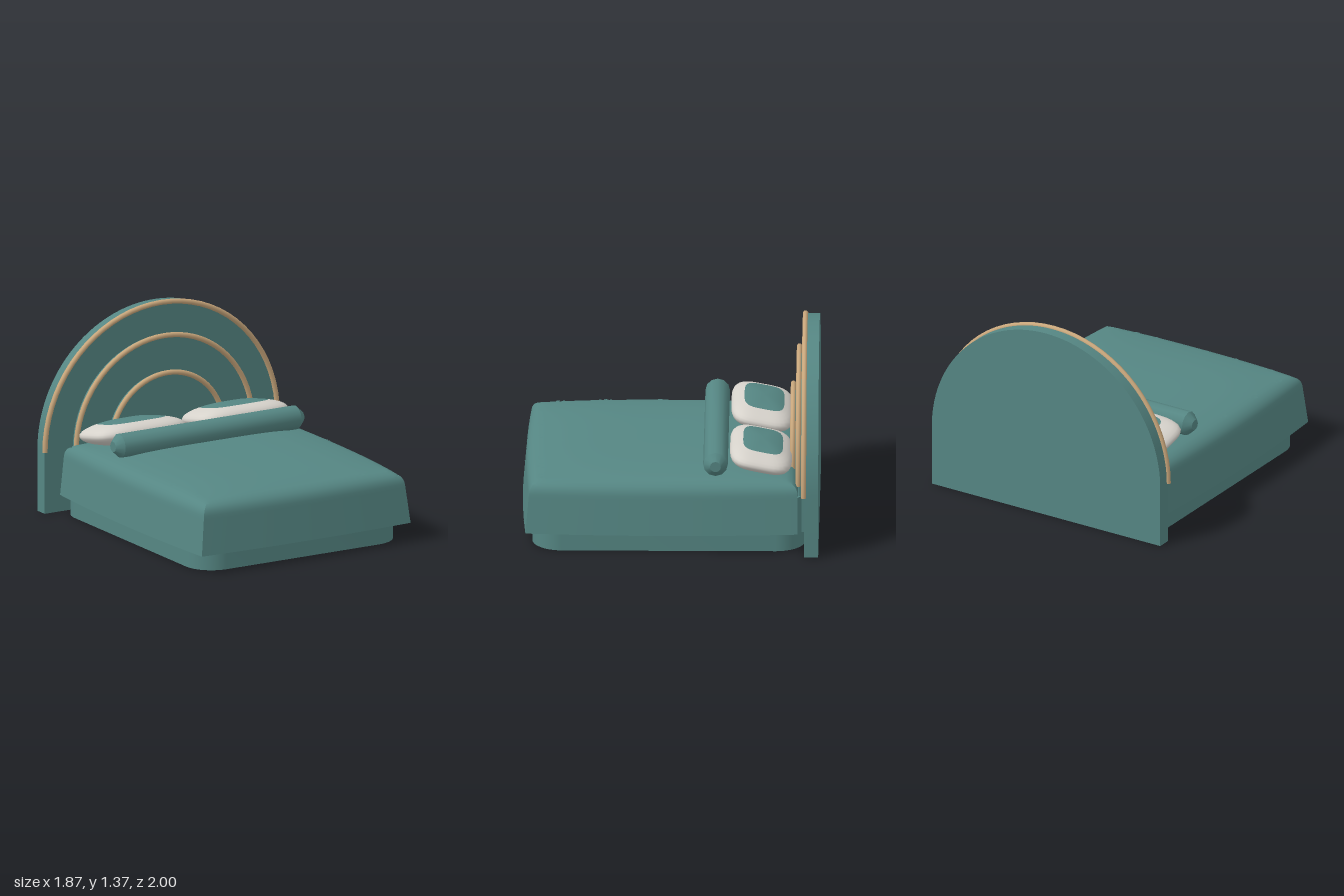
import * as THREE from 'three';
import { mergeGeometries, mergeVertices, toCreasedNormals } from 'three/addons/utils/BufferGeometryUtils.js';

// Blanket box before draping
const W = 0.785, D = 0.9025, ZC = 0.0425, Y0 = 0.13, Y1 = 0.475, R = 0.07;

// Rounds the upper edge, flares the skirt and domes the top of a point on the blanket box
function drape(x, y, z) {
  const qx = THREE.MathUtils.clamp(x, R - W, W - R);
  const qz = THREE.MathUtils.clamp(z, R - D, D - R);
  const qy = Math.min(y, Y1 - R);
  const k = Math.max(Math.abs(x - qx), Math.abs(z - qz)), dy = y - qy;
  const f = k > 0 && dy > 0 ? Math.max(k, dy) / Math.hypot(k, dy) : 1;
  const px = qx + (x - qx) * f, py = qy + dy * f, pz = qz + (z - qz) * f;
  const xn = px / W, zn = pz / D, t = (py - Y0) / (Y1 - Y0);
  return new THREE.Vector3(
    px * (1 + 0.05 * (1 - t) + 0.045 * (1 - zn * zn)),
    py + 0.06 * t * t * (1 - xn ** 4) * (1 - zn ** 4),
    pz + ZC + Math.max(zn, 0) * (0.03 * (1 - t) + 0.025 * (1 - xn * xn))
  );
}

function reshape(geo, rule) {
  const p = geo.attributes.position;
  for (let i = 0; i < p.count; i++) {
    const v = rule(p.getX(i), p.getY(i), p.getZ(i));
    p.setXYZ(i, v.x, v.y, v.z);
  }
  return geo;
}

// Joins duplicate points so that the surface can be smoothed across seams
function weld(geo) {
  geo.deleteAttribute('normal');
  geo.deleteAttribute('uv');
  return mergeVertices(geo, 1e-4);
}

// Open-bottomed draped shell
function blanketGeometry() {
  const geo = new THREE.BoxGeometry(2 * W, Y1 - Y0, 2 * D, 44, 14, 48);
  const bottom = geo.groups[3], index = Array.from(geo.index.array);
  index.splice(bottom.start, bottom.count);
  geo.setIndex(index);
  geo.clearGroups();
  reshape(geo, (x, y, z) => drape(x, y + (Y0 + Y1) / 2, z));
  return toCreasedNormals(weld(geo), 0.7);
}

// Five-petal flower laid on the blanket; place maps flat coordinates to the surface
function flowerGeometry(size, turn, place) {
  const petals = [];
  for (let i = 0; i < 5; i++) {
    petals.push(new THREE.RingGeometry(size * 0.45, size, 3, 1, turn + i * Math.PI * 0.4, 0.75));
  }
  const geo = reshape(mergeGeometries(petals), place);
  geo.computeVertexNormals();
  return geo;
}

function flowersGeometry() {
  let seed = 7;
  const rnd = () => (seed = (seed * 16807) % 2147483647) / 2147483647;
  const lift = 0.004, list = [], spots = [];
  // top, spaced apart
  for (let n = 0; n < 1500 && spots.length < 90; n++) {
    const x = (rnd() * 2 - 1) * 0.68, z = -0.22 + rnd() * 1.02;
    if (spots.some(s => Math.hypot(s[0] - x, s[1] - z) < 0.115)) continue;
    spots.push([x, z]);
    list.push(flowerGeometry(0.05, rnd() * 6, (a, b) => {
      const v = drape(x + a, Y1, z - b);
      v.y += lift;
      return v;
    }));
  }
  // front skirt
  for (const [x, y] of [[-0.57, 0.26], [-0.2, 0.3], [0.2, 0.22], [0.56, 0.32], [0.56, 0.19]]) {
    list.push(flowerGeometry(0.055, rnd() * 6, (a, b) => {
      const v = drape(x + a, y + b, D);
      v.z += lift;
      return v;
    }));
  }
  // side skirts
  for (const s of [-1, 1]) {
    for (const [z, y] of [[0.84, 0.29], [0.64, 0.3], [0.23, 0.32], [0.23, 0.19], [-0.22, 0.3]]) {
      list.push(flowerGeometry(0.055, rnd() * 6, (a, b) => {
        const v = drape(s * W, y + b, z - s * a);
        v.x += s * lift;
        return v;
      }));
    }
  }
  return mergeGeometries(list);
}

// Slab with straight sides and a semicircular top
function archPanel(radius, bottom, back, front) {
  const s = new THREE.Shape();
  s.moveTo(-radius, bottom);
  s.lineTo(radius, bottom);
  s.lineTo(radius, 0.43);
  s.absarc(0, 0.43, radius, 0, Math.PI, false);
  s.closePath();
  const geo = new THREE.ExtrudeGeometry(s, { depth: front - back, bevelEnabled: false, curveSegments: 36 });
  return toCreasedNormals(geo.translate(0, 0, back), 0.5);
}

// Band of a cushion between two polar angles, squared off in plan
function pillowGeometry(from, to) {
  const sphere = new THREE.SphereGeometry(1, 48, 14, 0, Math.PI * 2, from, to - from);
  reshape(sphere, (x, y, z) => {
    const r = Math.hypot(x, z);
    const k = r > 1e-6 ? r / (x ** 4 + z ** 4) ** 0.25 : 1;
    return { x: 0.355 * x * k, y: 0.092 * y, z: 0.213 * z * k };
  });
  const geo = weld(sphere);
  geo.computeVertexNormals();
  return geo;
}

export function createModel() {
  const group = new THREE.Group();
  const teal = new THREE.MeshStandardMaterial({ name: 'teal fabric', color: 0x558683, side: THREE.DoubleSide });
  const white = new THREE.MeshStandardMaterial({ name: 'white linen', color: 0xd6d2cb });
  const tan = new THREE.MeshStandardMaterial({ name: 'tan trim', color: 0xc9a77c });
  const add = (name, geo, material, parent = group) => {
    const m = new THREE.Mesh(geo, material);
    m.name = name;
    parent.add(m);
    return m;
  };

  // Headboard: three stepped arches, each with a trim tube
  const steps = [
    ['outer', 0.918, 0, -1, -0.905],
    ['middle', 0.695, 0.1, -0.91, -0.865],
    ['inner', 0.445, 0.1, -0.87, -0.825]
  ];
  for (const [name, radius, bottom, back, front] of steps) {
    add(name + 'HeadboardPanel', archPanel(radius, bottom, back, front), teal);
    const trim = add(name + 'ArchTrim', new THREE.TorusGeometry(radius, 0.018, 10, 36, Math.PI), tan);
    trim.position.set(0, 0.43, front + 0.003);
    for (const s of [-1, 1]) {
      const cap = add(name + 'TrimEnd', new THREE.CircleGeometry(0.018, 10).rotateX(Math.PI / 2), tan);
      cap.position.set(s * radius, 0.43, front + 0.003);
    }
  }

  // Base with rounded corners
  const bx = 0.8, z0 = -0.91, z1 = 0.93, r = 0.2;
  const plan = new THREE.Shape();
  plan.absarc(bx - r, -z0 - r, r, 0, Math.PI / 2);
  plan.absarc(r - bx, -z0 - r, r, Math.PI / 2, Math.PI);
  plan.absarc(r - bx, r - z1, r, Math.PI, Math.PI * 1.5);
  plan.absarc(bx - r, r - z1, r, Math.PI * 1.5, Math.PI * 2);
  const baseGeo = new THREE.ExtrudeGeometry(plan, { depth: 0.36, bevelEnabled: false, curveSegments: 10 });
  add('base', toCreasedNormals(baseGeo.rotateX(-Math.PI / 2), 0.5), teal);

  // Bedding
  add('blanket', blanketGeometry(), teal);
  add('blanketFlowers', flowersGeometry(), teal);

  // Pillows with a coloured centre panel
  for (const s of [-1, 1]) {
    const pillow = new THREE.Group();
    pillow.name = s > 0 ? 'leftPillow' : 'rightPillow';
    add('pillowCover', pillowGeometry(0.7, Math.PI), white, pillow);
    add('pillowPanel', pillowGeometry(0, 0.7), teal, pillow);
    pillow.position.set(s * 0.405, 0.58, -0.61);
    pillow.rotation.x = -0.2;
    group.add(pillow);
  }

  // Bolster with tapered ends
  const profile = [[0, -0.745], [0.037, -0.745], [0.083, -0.695], [0.083, 0.695], [0.037, 0.745], [0, 0.745]]
    .map(([a, b]) => new THREE.Vector2(a, b));
  const bolster = add('bolster', toCreasedNormals(new THREE.LatheGeometry(profile, 12), 0.6), teal);
  bolster.rotation.z = Math.PI / 2;
  bolster.position.set(0, 0.585, -0.305);

  return group;
}
